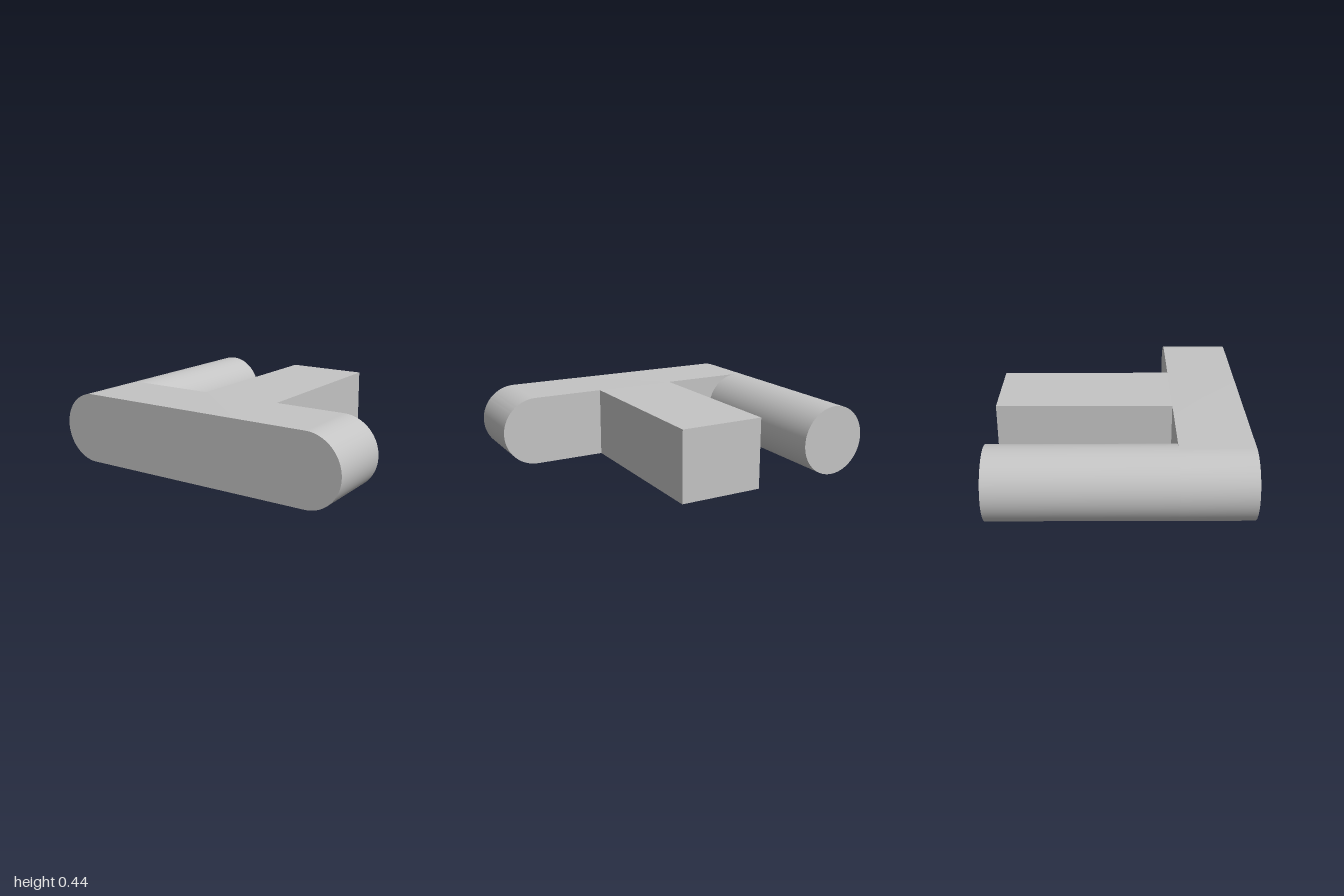
import * as THREE from 'three';
import { toCreasedNormals } from 'three/addons/utils/BufferGeometryUtils.js';

const R = 0.2225;        // half the thickness, and radius of every round
const FRONT = 0.777, BACK = -0.777;
const INNER = 0.333;     // rear face of the crossbar
const END = 1 - R;       // x of the round end centres

export function createModel() {
  const group = new THREE.Group();
  const grey = new THREE.MeshStandardMaterial({ color: 0xc4c4c4 });
  grey.name = 'grey';

  const add = (name, geometry, x, y, z) => {
    const mesh = new THREE.Mesh(geometry, grey);
    mesh.name = name;
    mesh.position.set(x, y, z);
    group.add(mesh);
    return mesh;
  };

  // Crossbar: a slot-shaped profile extruded along z
  const slot = new THREE.Shape();
  slot.absarc(END, 0, R, -Math.PI / 2, Math.PI / 2, false);
  slot.absarc(-END, 0, R, Math.PI / 2, Math.PI * 1.5, false);
  slot.closePath();
  const bar = new THREE.ExtrudeGeometry(slot, {
    depth: FRONT - INNER, bevelEnabled: false, curveSegments: 32,
  });
  add('crossbar', toCreasedNormals(bar, 0.5), 0, R, INNER);

  // Round rod and square stem reach back from the crossbar
  const length = INNER - BACK;
  const middle = (INNER + BACK) / 2;
  const rod = new THREE.CylinderGeometry(R, R, length, 64).rotateX(Math.PI / 2);
  add('roundRod', rod, -END, R, middle);

  const left = 0.32, right = -0.215;
  add('squareStem', new THREE.BoxGeometry(left - right, 2 * R, length), (left + right) / 2, R, middle);

  return group;
}
